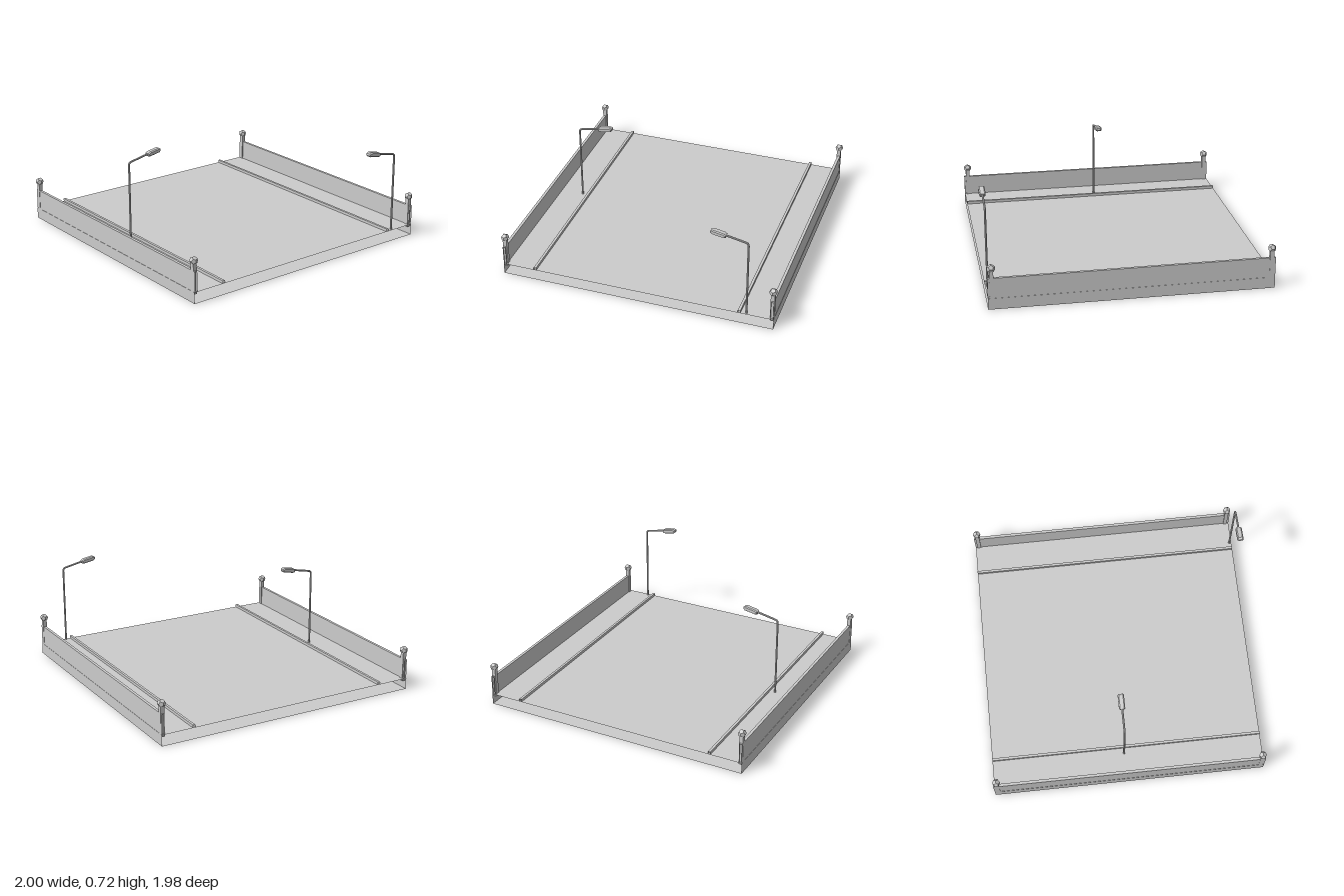
import * as THREE from 'three';

const HALF = 0.987;   // half length of the road piece along z
const DECK = 0.08;    // height of the road surface

const grey = new THREE.MeshStandardMaterial({ color: 0xcccccc, flatShading: true, side: THREE.DoubleSide });

function add(parent, name, geometry, x = 0, y = 0, z = 0) {
  const mesh = new THREE.Mesh(geometry, grey);
  mesh.name = name;
  mesh.position.set(x, y, z);
  parent.add(mesh);
  return mesh;
}

// Sweeps an x/y profile along z, leaving both ends open
function sweep(profile) {
  const pos = [];
  for (let i = 0; i < profile.length - 1; i++) {
    const [ax, ay] = profile[i], [bx, by] = profile[i + 1];
    pos.push(ax, ay, HALF, ax, ay, -HALF, bx, by, -HALF);
    pos.push(ax, ay, HALF, bx, by, -HALF, bx, by, HALF);
  }
  const g = new THREE.BufferGeometry();
  g.setAttribute('position', new THREE.Float32BufferAttribute(pos, 3));
  g.computeVertexNormals();
  return g;
}

// Inverted U profile standing on the deck; runs left to right so faces point outward
const ridge = (x0, x1, top) => sweep([[x0, DECK], [x0, top], [x1, top], [x1, DECK]]);

// Street lamp whose arm reaches toward +x
function lamp(name) {
  const g = new THREE.Group();
  g.name = name;
  const path = new THREE.CurvePath();
  const p = (x, y) => new THREE.Vector3(x, y, 0);
  path.add(new THREE.LineCurve3(p(0, 0), p(0, 0.555)));
  path.add(new THREE.QuadraticBezierCurve3(p(0, 0.555), p(0, 0.573), p(0.018, 0.577)));
  path.add(new THREE.LineCurve3(p(0.018, 0.577), p(0.17, 0.608)));
  add(g, 'lampPole', new THREE.TubeGeometry(path, 80, 0.0072, 8));

  // Flattened lamp head with tapered ends, lofted through rectangular sections
  const head = new THREE.Group();
  head.name = 'lampHead';
  head.position.set(0.15, 0.602, 0);
  head.rotation.z = 0.18;
  g.add(head);
  const outline = new THREE.Shape();
  outline.moveTo(0.004, -0.009);
  outline.lineTo(0.02, -0.014);
  outline.lineTo(0.098, -0.014);
  outline.lineTo(0.109, -0.006);
  outline.lineTo(0.109, 0.006);
  outline.lineTo(0.096, 0.015);
  outline.lineTo(0.02, 0.015);
  outline.lineTo(0.004, 0.009);
  outline.closePath();
  const shell = new THREE.ExtrudeGeometry(outline, {
    depth: 0.028, bevelEnabled: true, bevelThickness: 0.008, bevelSize: 0.006, bevelOffset: -0.004, bevelSegments: 1,
  });
  shell.translate(0, 0, -0.014);
  add(head, 'lampShell', shell);
  return g;
}

export function createModel() {
  const model = new THREE.Group();
  model.name = 'roadSection';

  // Road slab, open at front and back
  add(model, 'roadSlab', sweep([[-HALF, 0], [-HALF, DECK], [HALF, DECK], [HALF, 0], [-HALF, 0]]));

  for (const s of [-1, 1]) {
    const side = s > 0 ? 'left' : 'right';
    const strip = (a, b, top) => (s > 0 ? ridge(a, b, top) : ridge(-b, -a, top));
    add(model, side + 'Wall', strip(0.965, 0.985, 0.225));
    add(model, side + 'Curb', strip(0.738, 0.756, DECK + 0.02));

    // Corner posts with faceted caps
    for (const z of [-0.96, 0.96]) {
      const post = new THREE.Group();
      post.name = side + (z > 0 ? 'Front' : 'Back') + 'Post';
      post.position.set(s * 0.973, 0, z);
      model.add(post);
      add(post, 'postShaft', new THREE.BoxGeometry(0.028, 0.215, 0.028), 0, 0.1675, 0);
      add(post, 'postCap', new THREE.DodecahedronGeometry(0.029), 0, 0.293, 0);
    }
  }

  // Two staggered lamps leaning over the road
  const rightLamp = lamp('rightLamp');
  rightLamp.position.set(-0.795, DECK, -0.022);
  const leftLamp = lamp('leftLamp');
  leftLamp.position.set(0.795, DECK, 0.971);
  leftLamp.rotation.y = Math.PI;
  model.add(rightLamp, leftLamp);

  return model;
}
